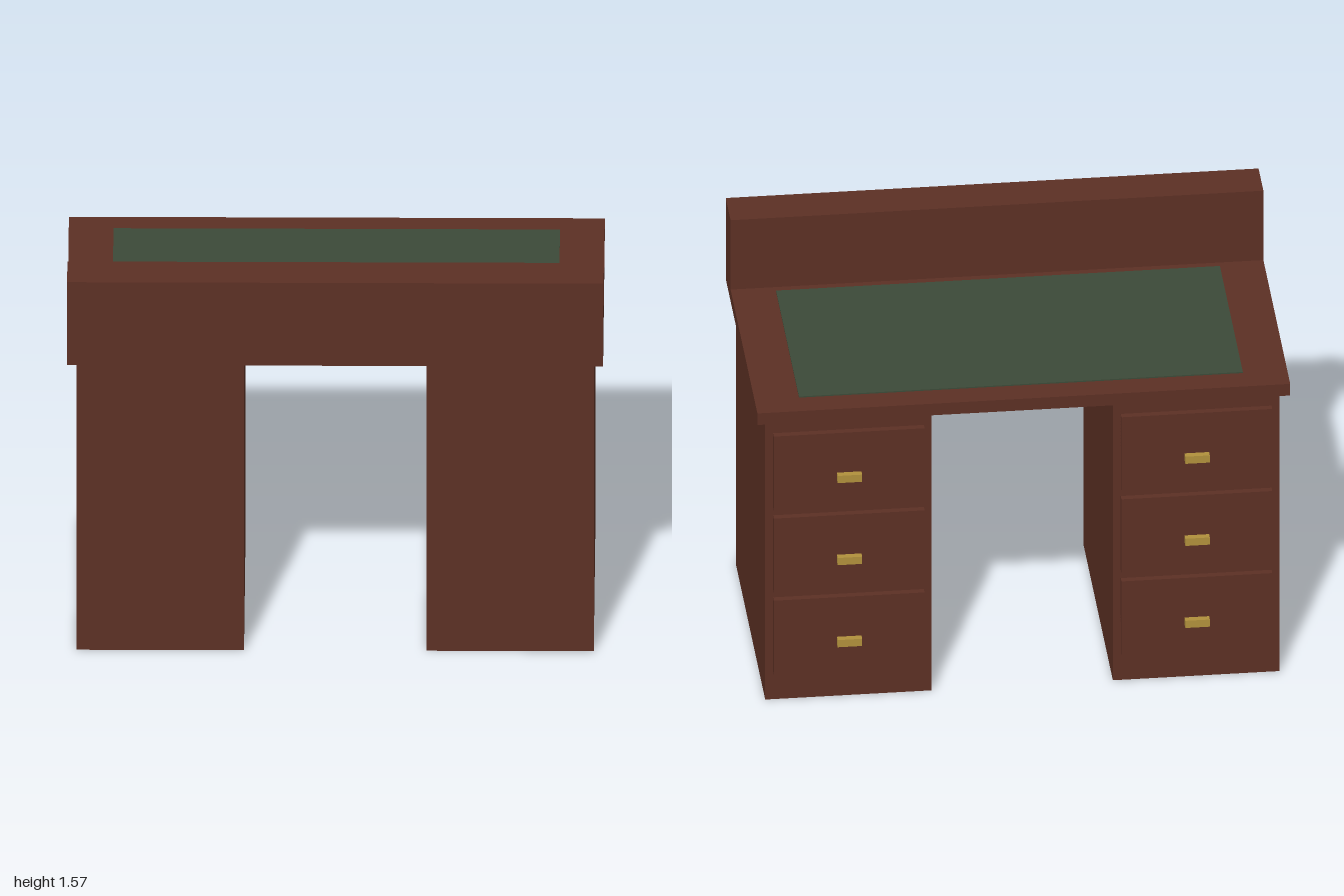
import * as THREE from 'three';

const wood = new THREE.MeshStandardMaterial({ color: 0x5c3024 });
const felt = new THREE.MeshStandardMaterial({ color: 0x3c4a38 });
const brass = new THREE.MeshStandardMaterial({ color: 0xb0903c });

// Box given by its min and max corners
function box(parent, name, material, [x0, y0, z0], [x1, y1, z1]) {
  const mesh = new THREE.Mesh(new THREE.BoxGeometry(x1 - x0, y1 - y0, z1 - z0), material);
  mesh.position.set((x0 + x1) / 2, (y0 + y1) / 2, (z0 + z1) / 2);
  mesh.name = name;
  parent.add(mesh);
}

// Pedestal with three drawers, centred on its own x = 0
function makePedestal(name) {
  const pedestal = new THREE.Group();
  pedestal.name = name;
  box(pedestal, 'pedestalCase', wood, [-0.3125, 0, -0.49], [0.3125, 1.22, 0.51]);
  for (let i = 0; i < 3; i++) {
    const y = 0.28 + i * 0.355;
    box(pedestal, 'drawerFront', wood, [-0.283, y - 0.16, -0.515], [0.283, y + 0.16, -0.49]);
    box(pedestal, 'drawerHandle', brass, [-0.046, y - 0.042, -0.54], [0.046, y - 0.011, -0.515]);
  }
  return pedestal;
}

export function createModel() {
  const desk = new THREE.Group();
  desk.name = 'desk';

  // Two pedestals either side of the open kneehole
  for (const side of [-1, 1]) {
    const pedestal = makePedestal(side > 0 ? 'leftPedestal' : 'rightPedestal');
    pedestal.position.x = side * 0.6525;
    desk.add(pedestal);
  }

  // Top slab, writing surface and raised ledge
  box(desk, 'desktop', wood, [-1, 1.22, -0.542], [1, 1.27, 0.542]);
  box(desk, 'writingSurface', felt, [-0.833, 1.27, -0.443], [0.833, 1.275, 0.343]);
  box(desk, 'raisedLedge', wood, [-1, 1.27, 0.377], [1, 1.57, 0.542]);
  return desk;
}
